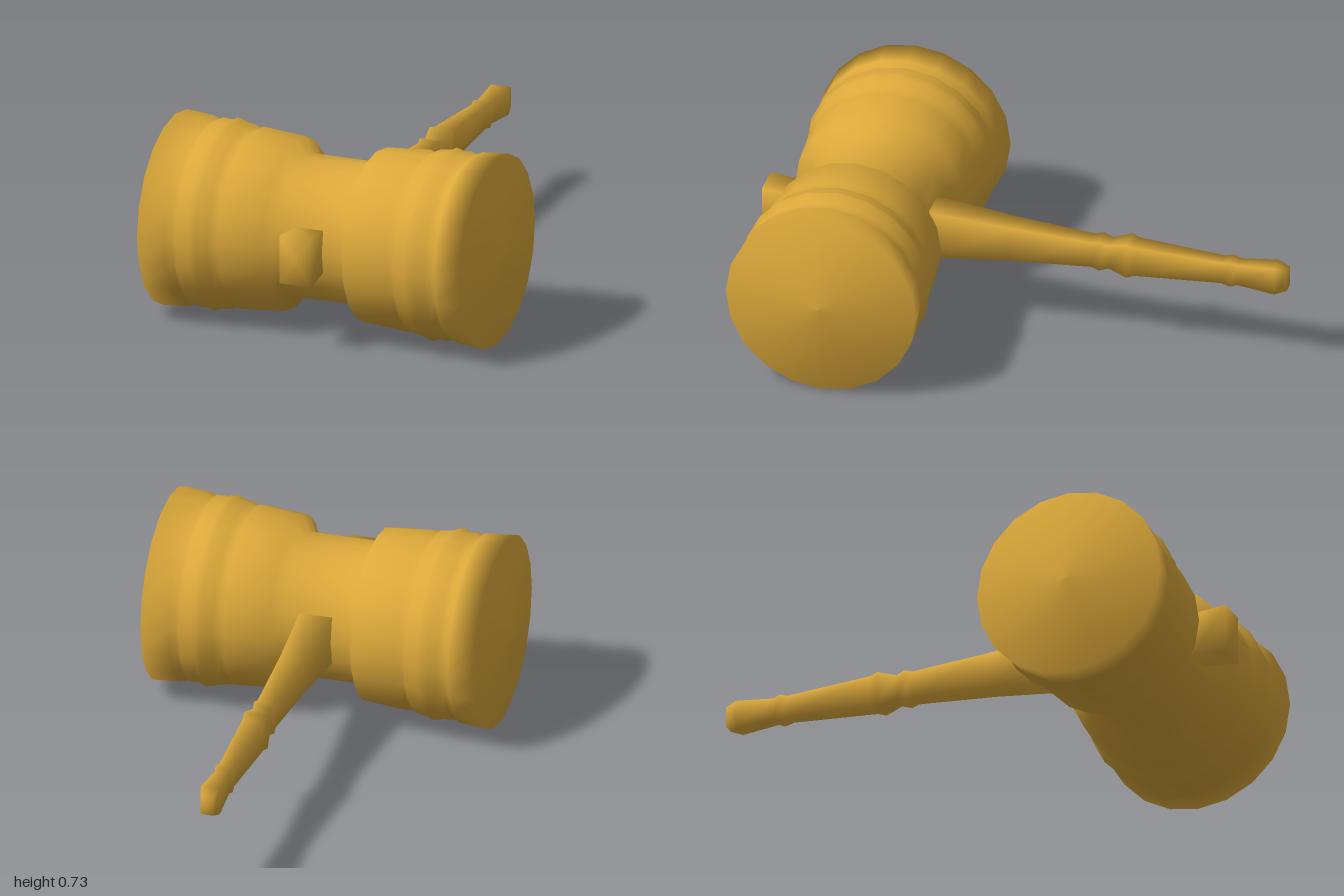
import * as THREE from 'three';

const wood = new THREE.MeshStandardMaterial({ color: 0xdba83a });
const CY = 0.367, HEAD_Z = 0.61;

// Turned mallet head: half profile [distance from middle, radius], mirrored
function makeHead() {
  const half = [
    [0.13, 0.267], [0.16, 0.325], [0.333, 0.339], [0.352, 0.327], [0.37, 0.343],
    [0.418, 0.35], [0.437, 0.36], [0.455, 0.35], [0.497, 0.352], [0.517, 0.338],
    [0.54, 0.356], [0.643, 0.364], [0.686, 0],
  ];
  const right = half.map(([d, r]) => new THREE.Vector2(r, d));
  const left = half.map(([d, r]) => new THREE.Vector2(r, -d)).reverse();
  const geo = new THREE.LatheGeometry([...left, ...right], 20);
  geo.rotateZ(-Math.PI / 2);
  const mesh = new THREE.Mesh(geo, wood);
  mesh.name = 'head';
  mesh.position.set(0, CY, HEAD_Z);
  return mesh;
}

// Four-sided bar along z: [z, half height], narrower across x
function makeBar(name, profile) {
  const pts = profile.map(([z, h]) => new THREE.Vector2(h * Math.SQRT2, z));
  const geo = new THREE.LatheGeometry(pts, 4, Math.PI / 4);
  geo.scale(0.66, 1, 1);
  geo.rotateX(Math.PI / 2);
  const mesh = new THREE.Mesh(geo, wood);
  mesh.name = name;
  mesh.position.y = CY;
  return mesh;
}

export function createModel() {
  const group = new THREE.Group();
  group.name = 'mallet';
  group.add(makeHead());

  // Handle with raised collars and a rounded-off grip end
  group.add(makeBar('handle', [
    [-1, 0], [-1, 0.038], [-0.955, 0.054], [-0.81, 0.042], [-0.785, 0.05], [-0.75, 0.043],
    [-0.42, 0.06], [-0.39, 0.069], [-0.32, 0.049], [-0.285, 0.06], [-0.255, 0.052],
    [0.05, 0.069], [0.36, 0.095], [0.45, 0.095], [0.45, 0],
  ]));

  // End of the handle showing through the front of the head
  group.add(makeBar('peg', [[0.8, 0], [0.8, 0.08], [0.87, 0.083], [1, 0.094], [1, 0]]));
  return group;
}
